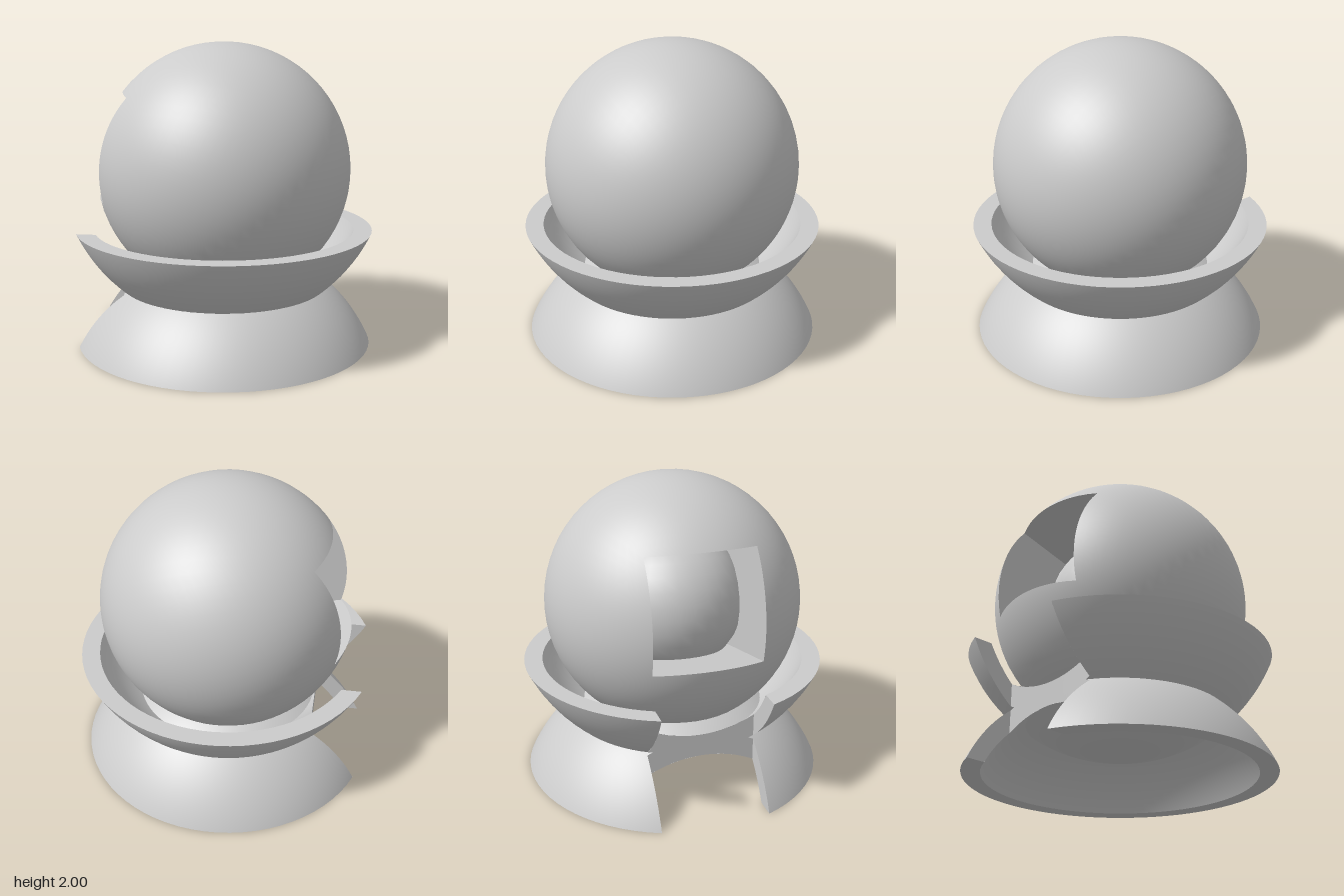
import * as THREE from 'three';

const MAT = new THREE.MeshStandardMaterial({ color: 0xcccccc, side: THREE.DoubleSide });
const CX = -0.035;                 // shared vertical axis of ball and stand
const R = 0.835, BALL_Y = 1.165;   // ball
const HALF = 0.354;                // half width of both cut-outs
const CUT = 0.61;                  // depth plane of the cut in the stand
const H = 0.774;                   // stand height
const SHELL_Y = 1.22;              // centre of the bowl's spherical wall
const R_OUT = 1.081, R_IN = 0.973; // outer and inner radius of that wall
const RIM = H - SHELL_Y;           // rim height measured from that centre

// Smooth surface from a rule f(u, v) -> [x, y, z]
function grid(nu, nv, f) {
  const pos = [], idx = [];
  for (let j = 0; j <= nv; j++)
    for (let i = 0; i <= nu; i++) pos.push(...f(i / nu, j / nv));
  for (let j = 0; j < nv; j++)
    for (let i = 0; i < nu; i++) {
      const a = j * (nu + 1) + i, b = a + 1, c = a + nu + 1, d = c + 1;
      idx.push(a, c, b, b, c, d);
    }
  const g = new THREE.BufferGeometry();
  g.setAttribute('position', new THREE.Float32BufferAttribute(pos, 3));
  g.setIndex(idx);
  g.computeVertexNormals();
  return g;
}

// Radial normals for surfaces that lie on a sphere round the origin
function spherical(g) {
  g.setAttribute('normal', g.getAttribute('position').clone());
  g.normalizeNormals();
  return g;
}

function add(parent, name, geometry) {
  const m = new THREE.Mesh(geometry, MAT);
  m.name = name;
  parent.add(m);
  return m;
}

// Sweep [radius, y] rows round the axis, leaving out the box-shaped cut on the -x side
function sweep(rows) {
  return grid(64, rows.length - 1, (u, v) => {
    const [r, y] = rows[Math.round(v * (rows.length - 1))];
    const gap = r <= CUT ? 0 : Math.min(Math.asin(HALF / r), Math.acos(CUT / r));
    const a = gap + u * (2 * Math.PI - 2 * gap);
    return [-r * Math.cos(a), y, r * Math.sin(a)];
  });
}

// Height of a spherical wall at radius r, trimmed at the rim
const wallY = (radius, r) => Math.min(RIM, -Math.sqrt(Math.max(0, radius * radius - r * r)));
const rimRadius = radius => Math.sqrt(radius * radius - RIM * RIM);

// Spherical wall from the rim down to radius rMin, with extra rows where the cut turns
function wall(radius, rMin) {
  const top = Math.acos(-RIM / radius), bottom = Math.asin(rMin / radius);
  const radii = [Math.hypot(CUT, HALF), 0.65, 0.625, 0.613, CUT];
  for (let i = 0; i <= 24; i++) radii.push(radius * Math.sin(top + (bottom - top) * i / 24));
  radii.sort((a, b) => b - a);
  return spherical(sweep(radii.map(r => [r, wallY(radius, r)])));
}

// Thick bowl, open at the top, notched on the -x side
function buildBowl(name, rMin) {
  const bowl = new THREE.Group();
  bowl.name = name;
  add(bowl, name + 'OuterWall', wall(R_OUT, rMin));
  add(bowl, name + 'InnerWall', wall(R_IN, rMin));
  add(bowl, name + 'Rim', sweep([[rimRadius(R_IN), RIM], [rimRadius(R_OUT), RIM]]));
  const xEnd = Math.sqrt(rimRadius(R_OUT) ** 2 - HALF ** 2);
  for (const s of [-1, 1])
    add(bowl, name + 'CutSide', grid(48, 1, (u, v) => {
      const x = CUT + u * (xEnd - CUT);
      return [-x, wallY(v ? R_OUT : R_IN, Math.hypot(x, HALF)), s * HALF];
    }));
  add(bowl, name + 'CutBack', grid(32, 1, (u, v) => {
    const z = (u * 2 - 1) * HALF;
    return [-CUT, wallY(v ? R_OUT : R_IN, Math.hypot(CUT, z)), z];
  }));
  return bowl;
}

function buildBall() {
  const ball = new THREE.Group();
  ball.name = 'ball';
  // Point on the edge of the square opening at angle a
  const square = a => {
    const c = Math.cos(a), s = Math.sin(a), k = HALF / Math.max(Math.abs(c), Math.abs(s));
    return [c * k, s * k];
  };
  // Shell: rows run from the square opening to the opposite pole
  add(ball, 'ballShell', spherical(grid(64, 32, (u, v) => {
    const a = -u * 2 * Math.PI;
    const t0 = Math.asin(Math.hypot(...square(a)) / R);
    const t = t0 + v * (Math.PI - t0);
    return [-R * Math.cos(t), R * Math.sin(t) * Math.cos(a), R * Math.sin(t) * Math.sin(a)];
  })));
  // Four flat walls of the square opening
  for (let k = 0; k < 4; k++)
    add(ball, 'openingWall', grid(16, 1, (u, v) => {
      const [y, z] = square((k - 0.5 + u) * Math.PI / 2);
      return [v ? 0 : -Math.sqrt(R * R - y * y - z * z), y, z];
    }));
  const back = add(ball, 'openingBack', new THREE.PlaneGeometry(2 * HALF, 2 * HALF));
  back.rotation.y = -Math.PI / 2;
  // Round core visible inside the opening
  add(ball, 'core', new THREE.SphereGeometry(0.475, 32, 16));
  return ball;
}

export function createModel() {
  const model = new THREE.Group();
  model.name = 'ballOnStand';
  // Upper bowl dips into the foot, which is the same bowl turned over and left open on top
  const bowl = buildBowl('bowl', 0);
  bowl.position.set(CX, SHELL_Y, 0);
  const foot = buildBowl('foot', 0.5);
  foot.position.set(CX, H - SHELL_Y, 0);
  foot.rotation.x = Math.PI;
  const ball = buildBall();
  ball.position.set(CX, BALL_Y, 0);
  ball.rotation.z = THREE.MathUtils.degToRad(-13.5);
  model.add(bowl, foot, ball);
  return model;
}
